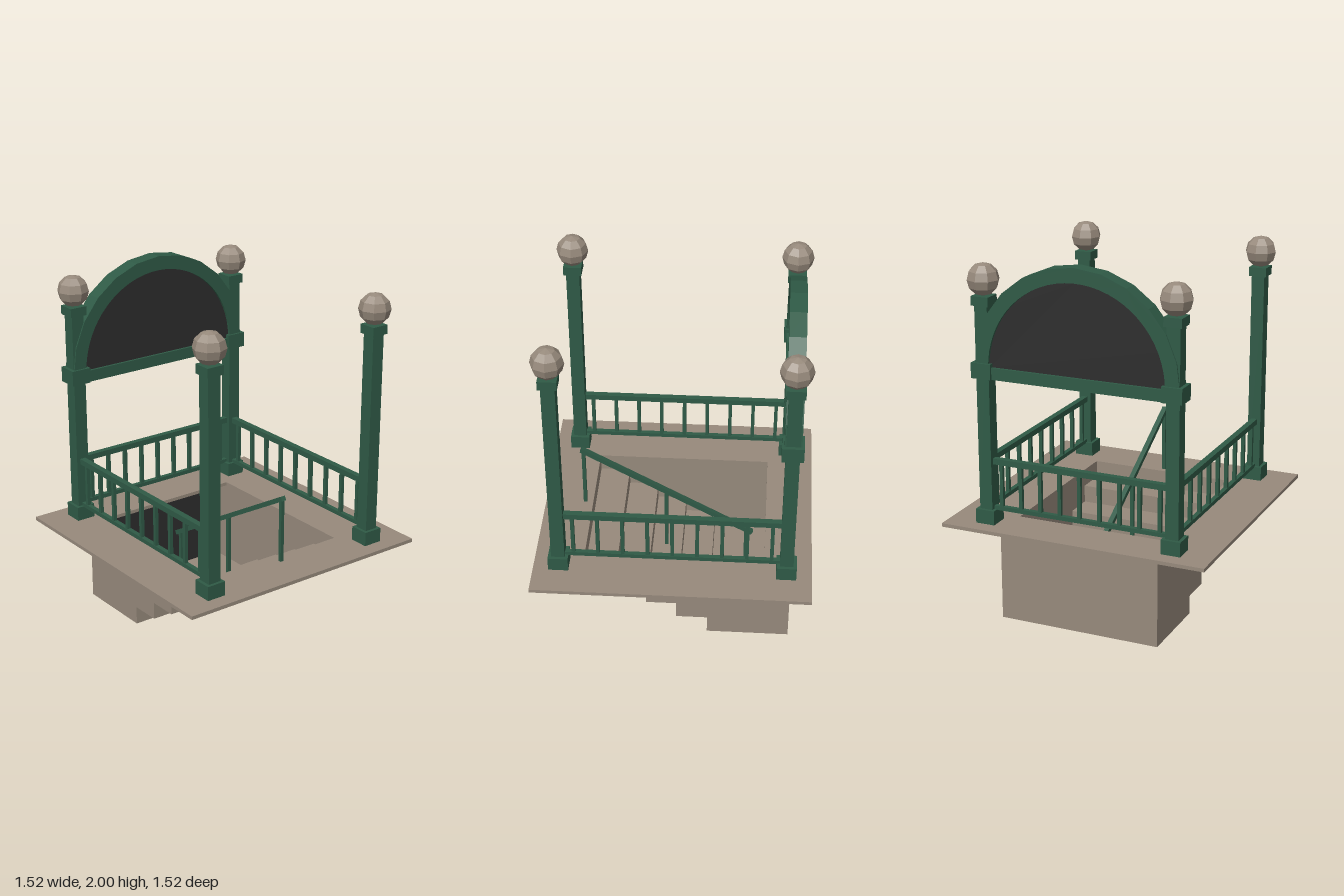
import * as THREE from 'three';

const green = new THREE.MeshStandardMaterial({ color: 0x2f5a46 });
green.name = 'greenIron';
const stone = new THREE.MeshStandardMaterial({ color: 0x978a7c });
stone.name = 'stone';
const dark = new THREE.MeshStandardMaterial({ color: 0x2d2d2d });
dark.name = 'darkPanel';

const GROUND = 0.545, POST_X = 0.54, POST_Z = 0.62;

export function createModel() {
  const model = new THREE.Group();
  model.name = 'stairEntrance';

  const add = (name, geo, mat, x = 0, y = 0, z = 0, parent = model) => {
    const m = new THREE.Mesh(geo, mat);
    m.name = name;
    m.position.set(x, y, z);
    parent.add(m);
    return m;
  };
  // Box given by its centre in x and z and its bottom and top in y
  const block = (name, mat, w, d, y0, y1, x = 0, z = 0, parent = model) =>
    add(name, new THREE.BoxGeometry(w, y1 - y0, d), mat, x, (y0 + y1) / 2, z, parent);
  const toShape = (pts) => new THREE.Shape(pts.map(([a, b]) => new THREE.Vector2(a, b)));
  // Profile drawn in (z, y), extruded across x
  const profile = (pts, width) => new THREE.ExtrudeGeometry(toShape(pts), { depth: width, bevelEnabled: false })
    .translate(0, 0, -width / 2).rotateY(-Math.PI / 2);

  // Pavement slab with the stair opening
  const slab = toShape([[-0.76, -0.76], [0.76, -0.76], [0.76, 0.76], [-0.76, 0.76]]);
  slab.holes.push(new THREE.Path([[-0.42, -0.49], [-0.42, 0.5], [0.42, 0.5], [0.42, -0.49]]
    .map(([a, b]) => new THREE.Vector2(a, b))));
  add('pavement', new THREE.ExtrudeGeometry(slab, { depth: 0.02, bevelEnabled: false })
    .rotateX(-Math.PI / 2), stone, 0, GROUND - 0.02, 0);

  // Stairwell: stepped underside, stepped treads and two side walls
  const risers = [0.325, 0.155, -0.015, -0.19];
  const under = [[0.535, 0.525], [0.535, 0.405]];
  const treads = [[0.49, 0.525], [0.49, 0.445]];
  risers.forEach((z, i) => {
    under.push([z, 0.405 - i * 0.1], [z, i === 3 ? 0 : 0.305 - i * 0.1]);
    treads.push([z - 0.006, 0.445 - i * 0.1], [z - 0.006, 0.345 - i * 0.1]);
  });
  under.push([-0.65, 0], [-0.65, 0.525]);
  treads.push([-0.61, 0.045], [-0.61, 0.525]);
  add('stairs', profile([...under, ...treads.reverse()], 0.84), stone);
  for (const s of [-1, 1]) add('stairSideWall', profile(under, 0.04), stone, s * 0.44);
  block('darkPassage', dark, 0.84, 0.008, 0.045, 0.525, 0, -0.605);

  // Corner posts with base, cap and faceted globe
  const globe = new THREE.SphereGeometry(0.088, 8, 6).toNonIndexed();
  globe.computeVertexNormals();
  for (const sx of [-1, 1]) for (const sz of [-1, 1]) {
    const post = new THREE.Group();
    post.name = 'cornerPost';
    post.position.set(sx * POST_X, 0, sz * POST_Z);
    model.add(post);
    block('postBase', green, 0.11, 0.11, GROUND, 0.625, 0, 0, post);
    block('postShaft', green, 0.074, 0.074, 0.625, 1.75, 0, 0, post);
    block('postCap', green, 0.1, 0.1, 1.75, 1.8, 0, 0, post);
    if (sz < 0) block('postCollar', green, 0.115, 0.115, 1.36, 1.445, 0, 0, post);
    add('globe', globe, stone, 0, 1.885, 0, post);
  }

  // Railings run along local x between posts
  const railing = (name, length, step, x, z, turn) => {
    const g = new THREE.Group();
    g.name = name;
    g.position.set(x, 0, z);
    g.rotation.y = turn;
    model.add(g);
    block('topRail', green, length, 0.034, 0.88, 0.912, 0, 0, g);
    block('bottomRail', green, length, 0.026, 0.62, 0.643, 0, 0, g);
    for (let i = -4; i <= 4; i++) block('baluster', green, 0.02, 0.02, 0.64, 0.882, i * step, 0, g);
  };
  railing('backRailing', 1.02, 0.115, 0, -POST_Z, 0);
  for (const s of [-1, 1]) railing('sideRailing', 1.18, 0.1345, s * POST_X, 0, Math.PI / 2);

  // Sign arch: faceted rim, smooth inner edge, cross beam and dark panel
  const arc = (r, n) => Array.from({ length: n + 1 }, (_, i) =>
    [r * Math.cos(i * Math.PI / n), r * Math.sin(i * Math.PI / n)]);
  const rim = toShape([...arc(0.58, 12), ...arc(0.5, 32).reverse()]);
  add('signArch', new THREE.ExtrudeGeometry(rim, { depth: 0.09, bevelEnabled: false }),
    green, 0, 1.42, -POST_Z - 0.045);
  block('signBeam', green, 1.06, 0.09, 1.36, 1.425, 0, -POST_Z);
  add('signPanel', new THREE.ExtrudeGeometry(toShape(arc(0.5, 32)), { depth: 0.06, bevelEnabled: false }),
    dark, 0, 1.42, -POST_Z - 0.03);

  // Centre handrail sloping down the stairs
  const top = new THREE.Vector2(0.548, 0.917), end = new THREE.Vector2(-0.425, 0.36);
  const run = top.clone().sub(end);
  const rail = add('handrail', new THREE.BoxGeometry(0.028, 0.026, run.length()), green,
    0, (top.y + end.y) / 2, (top.x + end.x) / 2);
  rail.rotation.x = -Math.atan2(run.y, run.x);
  for (const [z, foot] of [[0.535, GROUND], [0.07, 0.245], [-0.39, 0.045]]) {
    block('handrailPost', green, 0.02, 0.02, foot, end.y + (z - end.x) * run.y / run.x, 0, z);
  }
  return model;
}
